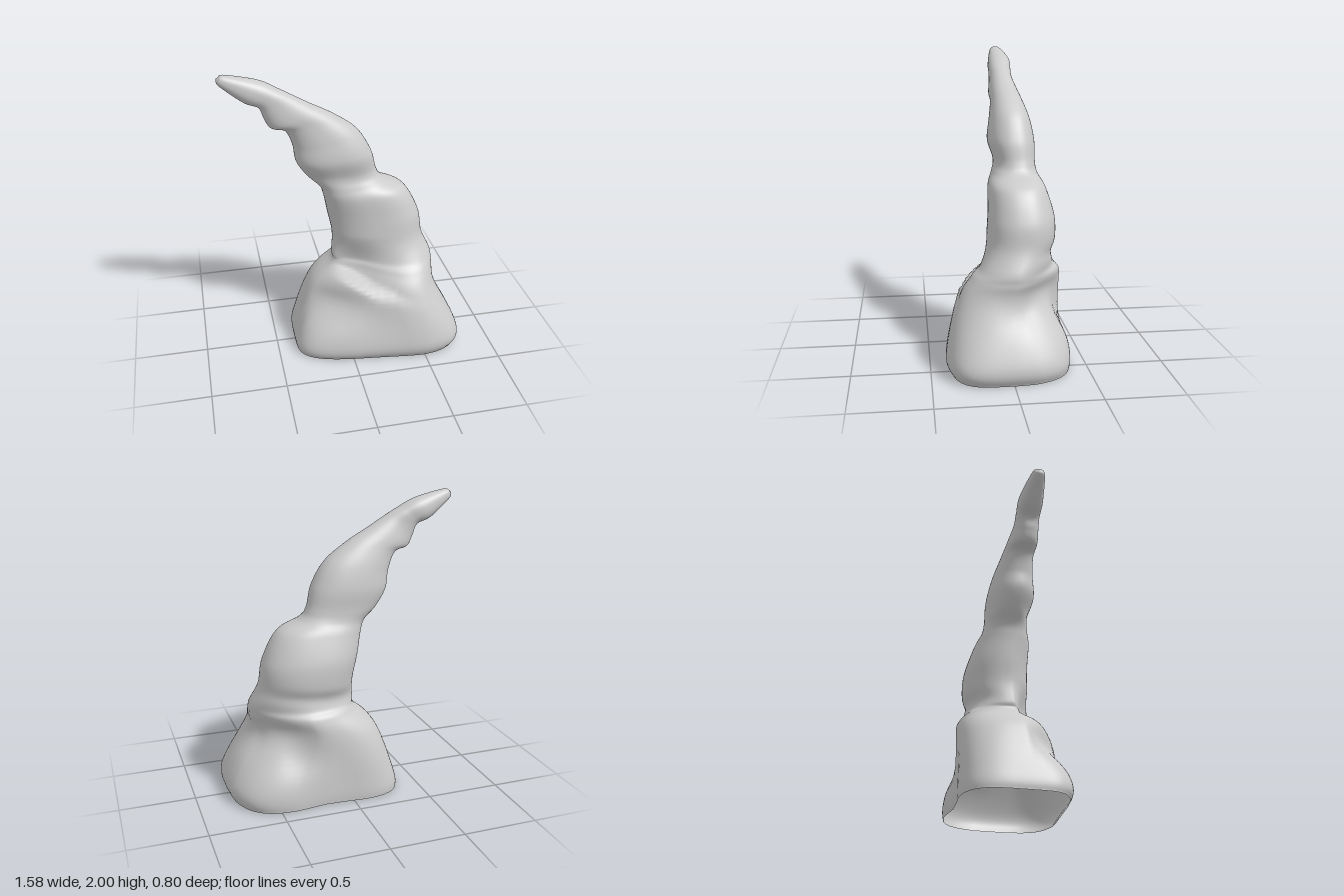
import * as THREE from 'three';

const { smoothstep } = THREE.MathUtils;

// Cross-sections from rim to tip: [leftX, leftY, rightX, rightY, backZ, frontZ]
const SECTIONS = [
  [-0.37, 0.00, 0.765, 0.00, -0.40, 0.38],
  [-0.36, 0.10, 0.785, 0.12, -0.405, 0.41],
  [-0.24, 0.44, 0.63, 0.45, -0.385, 0.35],
  [-0.085, 0.60, 0.62, 0.58, -0.355, 0.26],
  [-0.08, 0.66, 0.615, 0.65, -0.31, 0.20],
  [-0.07, 0.80, 0.56, 0.78, -0.32, 0.15],
  [-0.10, 0.96, 0.53, 0.95, -0.325, 0.14],
  [-0.13, 1.11, 0.43, 1.13, -0.28, 0.11],
  [-0.16, 1.19, 0.28, 1.21, -0.24, 0.07],
  [-0.24, 1.27, 0.23, 1.28, -0.23, 0.05],
  [-0.31, 1.38, 0.19, 1.42, -0.23, 0.08],
  [-0.33, 1.50, 0.10, 1.57, -0.205, 0.06],
  [-0.38, 1.61, -0.05, 1.685, -0.17, 0.04],
  [-0.47, 1.64, -0.20, 1.77, -0.15, 0.04],
  [-0.51, 1.71, -0.32, 1.84, -0.13, 0.03],
  [-0.54, 1.78, -0.41, 1.89, -0.13, 0.025],
  [-0.63, 1.82, -0.53, 1.95, -0.135, 0.02],
  [-0.765, 1.93, -0.73, 1.998, -0.095, -0.01],
  [-0.785, 1.96, -0.765, 1.99, -0.07, -0.035],
];
const RINGS = 180, SIDES = 72;

// Smooth blend of all section values, t in 0..1
function sectionAt(t) {
  const last = SECTIONS.length - 1;
  const f = t * last, i = Math.min(Math.floor(f), last - 1), w = f - i;
  const at = k => SECTIONS[Math.max(0, Math.min(last, k))];
  return SECTIONS[0].map((_, c) => {
    const a = at(i - 1)[c], b = at(i)[c], d = at(i + 1)[c], e = at(i + 2)[c];
    return b + 0.5 * w * (d - a + w * (2 * a - 5 * b + 4 * d - e + w * (3 * (b - d) + e - a)));
  });
}

const bell = (v, centre, width) => Math.exp(-(((v - centre) / width) ** 2));
const power = (v, n) => Math.sign(v) * Math.abs(v) ** (2 / n);

// Pull one corner of the cross-section inwards around a height
function cutCorner(p, c, s, sideX, sideZ, amount, height, width) {
  const corner = Math.max(0, c * sideX) * Math.max(0, s * sideZ);
  const d = amount * corner * bell(p.y, height, width);
  p.x -= sideX * d;
  p.z -= sideZ * d;
}

// Folds and hollows pressed into the surface
function pressFolds(p, c, s) {
  const front = Math.max(0, s), back = Math.max(0, -s), right = Math.max(0, c);
  const { x, y, z } = p;
  // front slants back towards the left, right side towards the back
  p.z -= front * 0.12 * Math.max(0, 0.5 - x) * (1 - smoothstep(y, 0.9, 1.2));
  p.x -= right * 0.25 * Math.max(0, -z - 0.1) * (1 - smoothstep(y, 0.2, 0.5));
  // sloping front left shoulder and pinched back right corner
  cutCorner(p, c, s, -1, 1, 0.13, 0.38, 0.16);
  cutCorner(p, c, s, 1, -1, 0.13, 0.48, 0.19);
  // diagonal crease where the column rises behind the shoulder
  const crease = 0.57 - 0.33 * Math.max(0, x + 0.08);
  p.z -= front * 0.13 * bell(x, 0, 0.25)
    * smoothstep(y, crease - 0.03, crease + 0.03) * (1 - smoothstep(y, 0.58, 0.85));
  // valley down the front of the base
  p.z -= front * 0.025 * bell(x, 0.2 - 0.1 * (0.4 - y), 0.1) * bell(y, 0.28, 0.18);
  // hollows on the back and right side
  p.z += back * 0.035 * bell(x, 0.15, 0.2) * bell(y, 0.1, 0.3);
  p.z += back * 0.04 * bell(x, 0.4, 0.15) * bell(y, 0.33, 0.12);
  p.z += back * 0.02 * bell(y, 0.7 + 0.1 * x, 0.05);
  p.x -= right * 0.03 * bell(y, 0.4, 0.09) * bell(z, -0.12, 0.13);
  // gentle unevenness of the column
  p.z += s * 0.008 * Math.sin(9 * y + 5 * x) * Math.min(1, y) * Math.max(0, 1.8 - y);
}

function buildShell() {
  const positions = [], index = [], p = new THREE.Vector3();
  for (let r = 0; r <= RINGS; r++) {
    const [lx, ly, rx, ry, zb, zf] = sectionAt(r / RINGS);
    // boxy at the rim, rounder up the column
    const n = 4.2 - 1.9 * smoothstep((ly + ry) / 2, 0, 0.75);
    for (let k = 0; k < SIDES; k++) {
      const a = (k / SIDES) * Math.PI * 2;
      const c = power(Math.cos(a), n), s = power(Math.sin(a), n);
      p.set((lx + rx) / 2 + c * (rx - lx) / 2, (ly + ry) / 2 + c * (ry - ly) / 2,
        (zb + zf) / 2 + s * (zf - zb) / 2);
      pressFolds(p, c, s);
      positions.push(p.x, Math.max(0, p.y), p.z);
      if (r < RINGS) {
        const i = r * SIDES + k, j = r * SIDES + (k + 1) % SIDES;
        index.push(i, i + SIDES, j, j, i + SIDES, j + SIDES);
      }
    }
  }
  // closing point of the tip
  const tip = positions.length / 3, top = RINGS * SIDES;
  positions.push(-0.785, 1.98, -0.052);
  for (let k = 0; k < SIDES; k++) index.push(top + k, tip, top + (k + 1) % SIDES);

  const g = new THREE.BufferGeometry();
  g.setAttribute('position', new THREE.Float32BufferAttribute(positions, 3));
  g.setIndex(index);
  g.computeVertexNormals();
  return g;
}

export function createModel() {
  const group = new THREE.Group();
  group.name = 'crookedHat';
  // hollow shell, open underneath
  const material = new THREE.MeshStandardMaterial({ color: 0xcccccc, side: THREE.DoubleSide });
  const shell = new THREE.Mesh(buildShell(), material);
  shell.name = 'hatShell';
  group.add(shell);
  return group;
}
